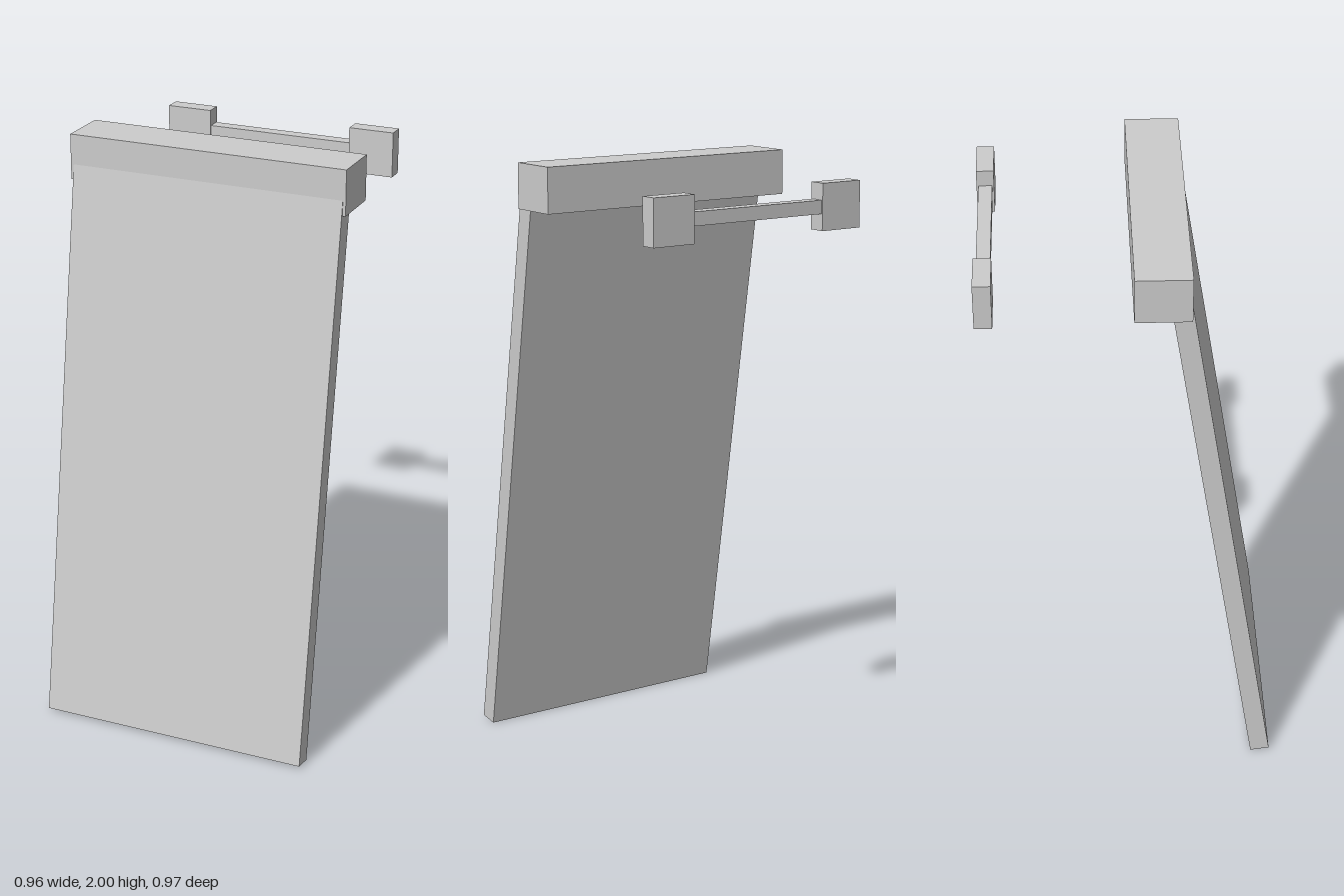
import * as THREE from 'three';

export function createModel() {
  const model = new THREE.Group();
  const grey = new THREE.MeshStandardMaterial({ color: 0xcccccc });
  grey.name = 'light grey';

  const box = (name, size, pos, parent = model) => {
    const mesh = new THREE.Mesh(new THREE.BoxGeometry(...size), grey);
    mesh.name = name;
    mesh.position.set(...pos);
    parent.add(mesh);
    return mesh;
  };

  // Header beam across the top of the panel
  box('headerBeam', [0.962, 0.152, 0.178], [0, 1.924, 0.094]);

  // Slab leaning back nine degrees, its top end buried in the beam
  const tilt = THREE.MathUtils.degToRad(9);
  const length = 1.95;
  const panel = box('leaningPanel', [0.942, length, 0.065], [
    0, 0.005 + Math.cos(tilt) * length / 2, 0.45 - Math.sin(tilt) * length / 2,
  ]);
  panel.rotation.x = -tilt;

  // Separate handle behind: two end blocks joined by a thin bar
  const handle = new THREE.Group();
  handle.name = 'rearHandle';
  handle.position.set(0, 1.867, -0.456);
  model.add(handle);
  box('handleBar', [0.52, 0.045, 0.045], [0, 0, 0], handle);
  for (const [side, name] of [[1, 'leftEndBlock'], [-1, 'rightEndBlock']]) {
    box(name, [0.157, 0.155, 0.057], [side * 0.335, 0, 0], handle);
  }

  return model;
}
